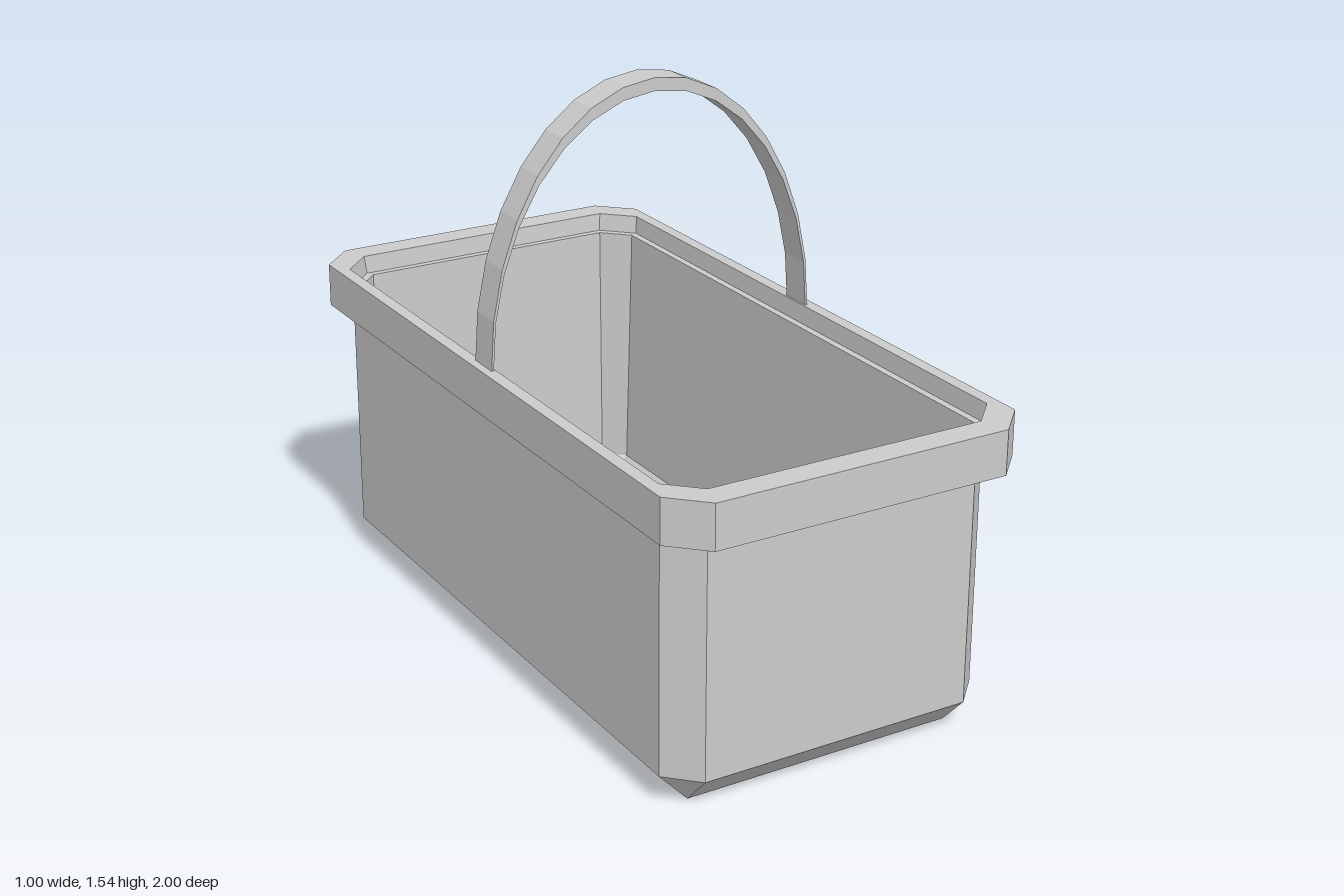
import * as THREE from 'three';

const material = new THREE.MeshStandardMaterial({ color: 0xcccccc, flatShading: true, side: THREE.DoubleSide });

// Rectangle with cut corners at height y; cut = 0 gives a plain rectangle
function ring([hx, hz, cut, y]) {
  const ax = hx - cut, az = hz - cut;
  return [[hx, -az], [hx, az], [ax, hz], [-ax, hz], [-hx, az], [-hx, -az], [-ax, -hz], [ax, -hz]]
    .map(([x, z]) => new THREE.Vector3(x, y, z));
}

// Skin consecutive rings, optionally closing both ends with flat caps
function loft(name, sections, capped) {
  const rings = sections.map(ring), positions = [];
  const tri = (a, b, c) => {
    if (new THREE.Triangle(a, b, c).getArea() > 1e-8) for (const p of [a, b, c]) positions.push(p.x, p.y, p.z);
  };
  for (let r = 0; r < rings.length - 1; r++) {
    for (let i = 0; i < 8; i++) {
      const j = (i + 1) % 8, lo = rings[r], hi = rings[r + 1];
      tri(lo[i], hi[i], lo[j]);
      tri(lo[j], hi[i], hi[j]);
    }
  }
  if (capped) {
    const first = rings[0], last = rings[rings.length - 1];
    for (let i = 1; i < 7; i++) {
      tri(first[0], first[i], first[i + 1]);
      tri(last[0], last[i], last[i + 1]);
    }
    // The inner floor faces up, so reverse its triangles
    for (let k = positions.length - 18; k < positions.length; k += 18) {
      for (let t = k; t < k + 18; t += 9) {
        for (let c = 0; c < 3; c++) {
          [positions[t + 3 + c], positions[t + 6 + c]] = [positions[t + 6 + c], positions[t + 3 + c]];
        }
      }
    }
  }
  const geometry = new THREE.BufferGeometry();
  geometry.setAttribute('position', new THREE.Float32BufferAttribute(positions, 3));
  geometry.computeVertexNormals();
  const mesh = new THREE.Mesh(geometry, material);
  mesh.name = name;
  return mesh;
}

export function createModel() {
  const group = new THREE.Group();
  group.name = 'basket';

  // Tub: outside from the base upward, over the wall top, down to the inner floor
  group.add(loft('tub', [
    [0.38, 0.84, 0, 0],
    [0.46, 0.92, 0.08, 0.085],
    [0.46, 0.92, 0.08, 0.80],
    [0.44, 0.90, 0.07, 0.80],
    [0.42, 0.885, 0.055, 0.09],
    [0.365, 0.83, 0, 0.04],
  ], true));

  // Rim: underside, outer band, top and inner edge
  group.add(loft('rim', [
    [0.46, 0.92, 0.08, 0.73],
    [0.50, 1.00, 0.09, 0.73],
    [0.50, 1.00, 0.09, 0.85],
    [0.465, 0.925, 0.08, 0.85],
    [0.46, 0.92, 0.08, 0.80],
  ], false));

  // Handle: flat strip bent into a half ellipse, thinner toward its feet
  const steps = 16, width = 0.09, base = 0.845;
  const arc = (rx, ry) => Array.from({ length: steps + 1 }, (_, i) => {
    const a = Math.PI * i / steps;
    return new THREE.Vector2(rx * Math.cos(a), base + ry * Math.sin(a));
  });
  const outline = new THREE.Shape([...arc(0.477, 0.70), ...arc(0.471, 0.665).reverse()]);
  const handle = new THREE.Mesh(
    new THREE.ExtrudeGeometry(outline, { depth: width, bevelEnabled: false }).translate(0, 0, -width / 2),
    material);
  handle.name = 'handle';
  group.add(handle);

  return group;
}
